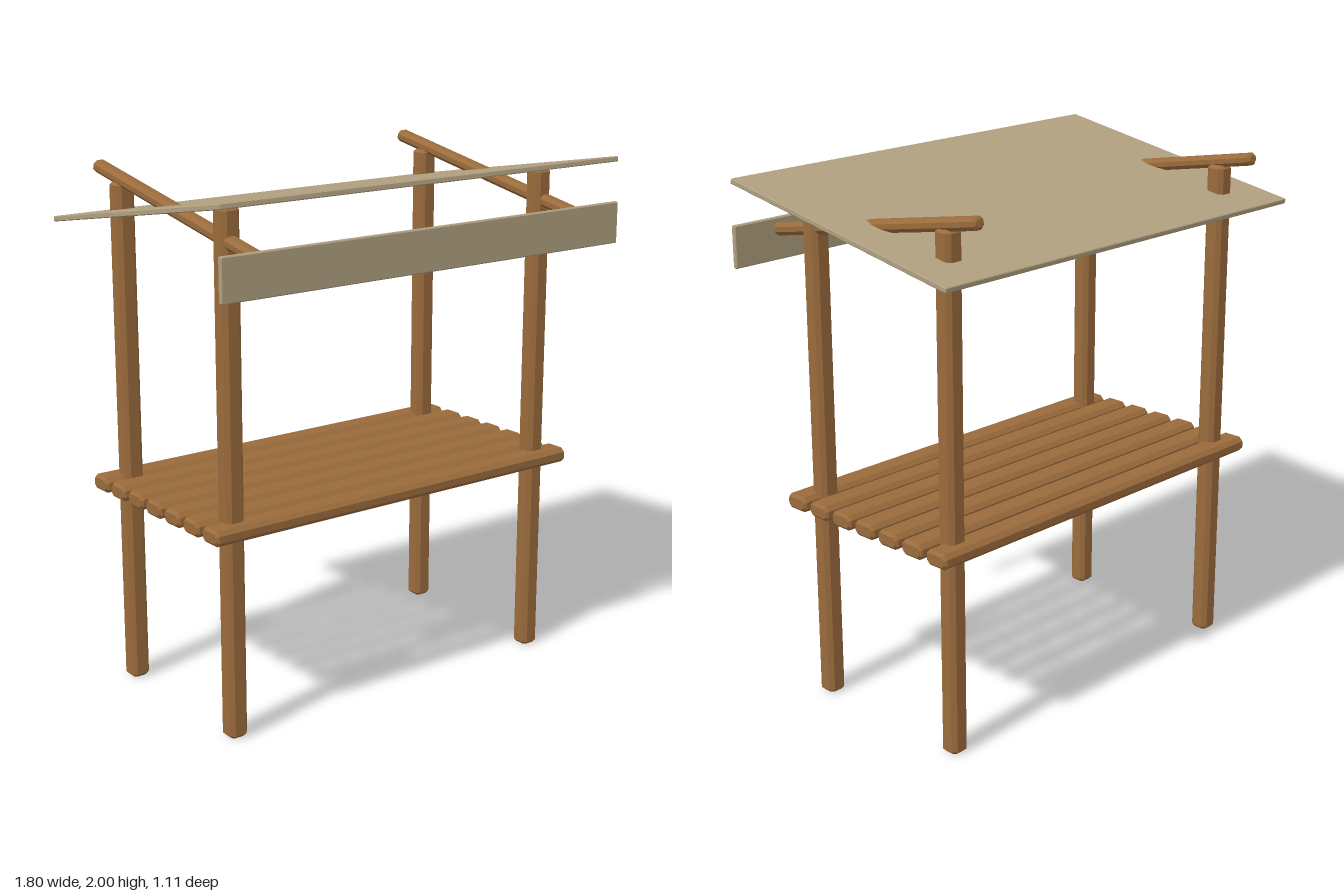
import * as THREE from 'three';

const wood = new THREE.MeshStandardMaterial({ color: 0x9a6b3c });
wood.name = 'wood';
wood.flatShading = true;
const canvas = new THREE.MeshStandardMaterial({ color: 0xb0a080 });
canvas.name = 'canvas';
canvas.flatShading = true;

// Bar along z with chamfered long edges (c) and chamfered ends (e), centred on the origin
function bar(w, h, length, c, e) {
  const x = w / 2, y = h / 2;
  const section = new THREE.Shape([
    [x, -y + c], [x, y - c], [x - c, y], [-x + c, y],
    [-x, y - c], [-x, -y + c], [-x + c, -y], [x - c, -y],
  ].map(([a, b]) => new THREE.Vector2(a, b)));
  const geometry = new THREE.ExtrudeGeometry(section, {
    depth: length - 2 * e, steps: 1, bevelEnabled: true,
    bevelThickness: e, bevelSize: e, bevelOffset: -e, bevelSegments: 1,
  });
  return geometry.translate(0, 0, -length / 2 + e);
}

export function createModel() {
  const model = new THREE.Group();
  model.name = 'marketStall';

  function add(name, geometry, material, x, y, z) {
    const mesh = new THREE.Mesh(geometry, material);
    mesh.name = name;
    mesh.position.set(x, y, z);
    model.add(mesh);
    return mesh;
  }

  // Posts and sloping rafters, mirrored left and right
  const post = bar(0.076, 0.076, 1.94, 0.016, 0.012).rotateX(Math.PI / 2);
  const rafter = bar(0.054, 0.046, 1.055, 0.014, 0.01);
  for (const [side, s] of [['left', 1], ['right', -1]]) {
    add(side + 'FrontPost', post, wood, s * 0.715, 0.97, 0.31);
    add(side + 'BackPost', post, wood, s * 0.715, 0.97, -0.37);
    add(side + 'Rafter', rafter, wood, s * 0.72, 1.885, -0.005).rotation.x = 0.183;
  }

  // Counter of seven planks
  const plank = bar(0.102, 0.058, 1.66, 0.016, 0.01).rotateY(Math.PI / 2);
  for (let i = 0; i < 7; i++) add('plank' + (i + 1), plank, wood, 0, 0.797, 0.343 - i * 0.1247);

  // Canopy sheet falling to the back, and valance hanging at the front
  const canopy = bar(1.8, 0.02, 1.115, 0.003, 0.003);
  add('canopy', canopy, canvas, 0, 1.891, -0.002).rotation.x = -0.172;
  const valance = bar(0.02, 0.158, 1.8, 0.004, 0.003).rotateY(Math.PI / 2);
  add('valance', valance, canvas, 0, 1.746, 0.545);

  // The plank and valance bars were turned so that their length runs along x
  return model;
}
